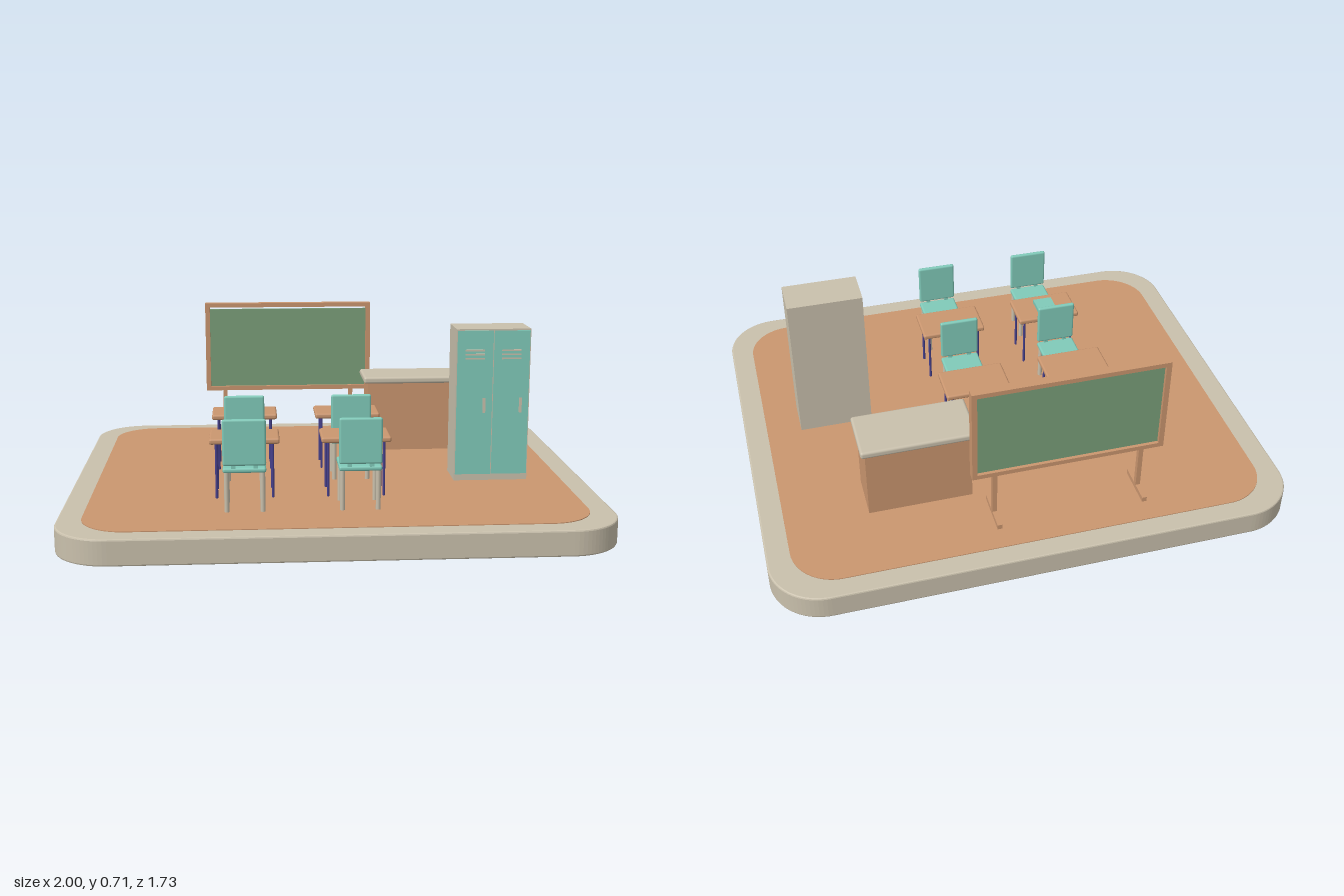
import * as THREE from 'three';
import { RoundedBoxGeometry } from 'three/addons/geometries/RoundedBoxGeometry.js';

const mat = (name, color) => Object.assign(new THREE.MeshStandardMaterial({ color }), { name });
const stone = mat('stone', 0xc9c0ac);
const wood = mat('wood', 0xca966f);
const teal = mat('teal', 0x80cab9);
const chalkGreen = mat('chalkGreen', 0x7a9f79);
const indigo = mat('indigo', 0x46408c);

function group(name, parent, x = 0, y = 0, z = 0) {
  const g = new THREE.Group();
  g.name = name;
  g.position.set(x, y, z);
  parent.add(g);
  return g;
}

// Box given by its min and max on each axis, optionally with rounded edges
function box(parent, name, material, [x0, x1], [y0, y1], [z0, z1], r = 0) {
  const w = x1 - x0, h = y1 - y0, d = z1 - z0;
  const geo = r ? new RoundedBoxGeometry(w, h, d, 2, r) : new THREE.BoxGeometry(w, h, d);
  const m = new THREE.Mesh(geo, material);
  m.name = name;
  m.position.set((x0 + x1) / 2, (y0 + y1) / 2, (z0 + z1) / 2);
  parent.add(m);
  return m;
}

// Horizontal slab with rounded corners
function slab(parent, name, material, hx, hz, r, y0, y1, bevel) {
  const a = hx - bevel, b = hz - bevel;
  const s = new THREE.Shape();
  s.moveTo(-a + r, -b);
  s.absarc(a - r, -b + r, r, -Math.PI / 2, 0);
  s.absarc(a - r, b - r, r, 0, Math.PI / 2);
  s.absarc(-a + r, b - r, r, Math.PI / 2, Math.PI);
  s.absarc(-a + r, -b + r, r, Math.PI, Math.PI * 1.5);
  const geo = new THREE.ExtrudeGeometry(s, {
    depth: y1 - y0 - 2 * bevel, bevelEnabled: bevel > 0,
    bevelSize: bevel, bevelThickness: bevel, bevelSegments: 2, curveSegments: 10,
  });
  geo.rotateX(-Math.PI / 2);
  const m = new THREE.Mesh(geo, material);
  m.name = name;
  m.position.y = y0 + bevel;
  parent.add(m);
}

// Four round legs standing on the floor
function legs(parent, name, material, hx, hz, r, top) {
  for (const x of [-hx, hx]) for (const z of [-hz, hz]) {
    const m = new THREE.Mesh(new THREE.CylinderGeometry(r, r, top - 0.098, 12), material);
    m.name = name;
    m.position.set(x, (top + 0.098) / 2, z);
    parent.add(m);
  }
}

function pupilDesk(parent, x, z) {
  const g = group('pupilDesk', parent, x, 0, z);
  box(g, 'deskTop', wood, [-0.131, 0.131], [0.307, 0.329], [-0.083, 0.083], 0.008);
  legs(g, 'deskLeg', indigo, 0.105, 0.064, 0.005, 0.315);
  return g;
}

function chair(parent, x, z) {
  const g = group('chair', parent, x, 0, z);
  box(g, 'seat', teal, [-0.078, 0.078], [0.245, 0.264], [-0.078, 0.076], 0.008);
  box(g, 'backrest', teal, [-0.078, 0.078], [0.272, 0.442], [0.061, 0.079], 0.008);
  for (const s of [-0.04, 0.04])
    box(g, 'backSupport', teal, [s - 0.008, s + 0.008], [0.255, 0.28], [0.064, 0.074]);
  legs(g, 'chairLeg', stone, 0.065, 0.061, 0.009, 0.25);
}

function chalkboard(parent) {
  const g = group('chalkboard', parent);
  const x = [-0.505, 0.232], z = [-0.637, -0.6];
  // Frame
  box(g, 'topRail', wood, x, [0.688, 0.706], z);
  box(g, 'bottomRail', wood, x, [0.313, 0.331], z);
  box(g, 'leftRail', wood, [0.212, 0.232], [0.331, 0.688], z);
  box(g, 'rightRail', wood, [-0.505, -0.485], [0.331, 0.688], z);
  box(g, 'writingSurface', chalkGreen, [-0.486, 0.213], [0.33, 0.679], [-0.624, -0.613]);
  // Stand
  for (const px of [-0.422, 0.145]) {
    box(g, 'post', wood, [px - 0.009, px + 0.009], [0.12, 0.315], [-0.628, -0.609]);
    box(g, 'foot', wood, [px - 0.009, px + 0.009], [0.107, 0.127], [-0.702, -0.535]);
  }
}

function locker(parent) {
  const g = group('locker', parent);
  box(g, 'cabinet', stone, [0.486, 0.776], [0.098, 0.7], [0.055, 0.21]);
  for (const [x0, x1] of [[0.49, 0.629], [0.633, 0.772]]) {
    box(g, 'door', teal, [x0, x1], [0.125, 0.694], [0.209, 0.216]);
    for (const y of [0.586, 0.602, 0.618])
      box(g, 'vent', stone, [x0 + 0.03, x0 + 0.105], [y - 0.003, y + 0.003], [0.215, 0.22]);
    box(g, 'handle', stone, [x1 - 0.037, x1 - 0.027], [0.373, 0.431], [0.215, 0.223]);
  }
}

export function createModel() {
  const model = new THREE.Group();
  model.name = 'classroom';

  // Platform and floor
  slab(model, 'platform', stone, 1, 0.863, 0.195, 0, 0.096, 0.006);
  slab(model, 'floor', wood, 0.912, 0.785, 0.17, 0.09, 0.099, 0);

  chalkboard(model);
  locker(model);

  // Teacher's desk
  const desk = group('teacherDesk', model);
  box(desk, 'deskBody', wood, [0.196, 0.596], [0.098, 0.395], [-0.488, -0.307]);
  box(desk, 'deskTop', stone, [0.178, 0.614], [0.392, 0.421], [-0.514, -0.295], 0.01);

  // Pupils' desks with chairs behind them
  for (const x of [-0.334, 0.083]) for (const z of [-0.085, 0.333]) {
    pupilDesk(model, x, z);
    chair(model, x, z + 0.183);
  }
  box(model, 'book', teal, [-0.375, -0.296], [0.328, 0.346], [0.267, 0.366]);
  return model;
}
